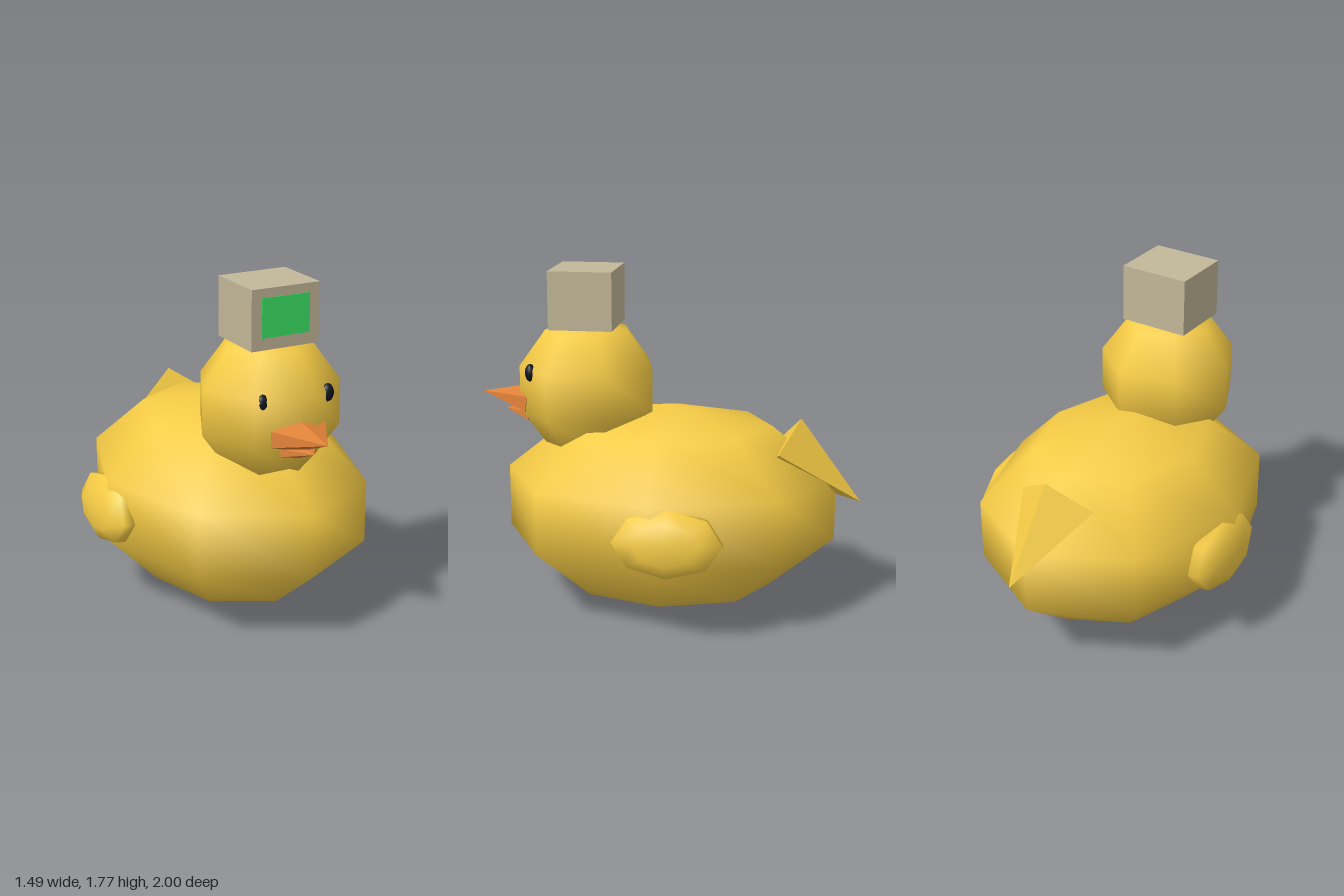
import * as THREE from 'three';

const paint = (color, flatShading = false) => new THREE.MeshStandardMaterial({ color, flatShading });

export function createModel() {
  const duck = new THREE.Group();
  duck.name = 'duck';
  const yellow = paint(0xf5cb45);
  const yellowFlat = paint(0xf5cb45, true);
  const orange = paint(0xdf8138, true);
  const black = paint(0x10161c);

  function add(name, geometry, material, position, scale = [1, 1, 1]) {
    const mesh = new THREE.Mesh(geometry, material);
    mesh.name = name;
    mesh.position.set(...position);
    mesh.scale.set(...scale);
    duck.add(mesh);
    return mesh;
  }

  // Flattened pyramid running from the centre of its base to its tip
  function spike(name, sides, rx, ry, base, tip, material) {
    const geometry = new THREE.ConeGeometry(1, 1, sides).translate(0, 0.5, 0).rotateX(Math.PI / 2);
    const end = new THREE.Vector3(...tip);
    const length = end.distanceTo(new THREE.Vector3(...base));
    add(name, geometry, material, base, [rx, ry, length]).lookAt(end);
  }

  // Body and head: coarse, smoothly shaded spheres
  add('body', new THREE.SphereGeometry(1, 8, 5), yellow, [0, 0.535, 0], [0.715, 0.535, 0.915]);
  add('head', new THREE.SphereGeometry(0.378, 7, 5), yellow, [0, 1.147, 0.43]);

  // Wings and eyes, mirrored
  for (const side of [1, -1]) {
    const label = side > 0 ? 'left' : 'right';
    const wing = new THREE.SphereGeometry(1, 8, 5).rotateZ(-Math.PI / 2);
    add(label + 'Wing', wing, yellow, [side * 0.651, 0.525, -0.08], [0.094, 0.179, 0.289])
      .rotation.z = side * 0.15;
    add(label + 'Eye', new THREE.SphereGeometry(1, 10, 8), black,
      [side * 0.18, 1.25, 0.699], [0.033, 0.046, 0.027]);
  }

  // Beak and tail
  spike('upperBeak', 6, 0.174, 0.08, [0, 1.075, 0.735], [0, 1.105, 1.0], orange);
  spike('lowerBeak', 6, 0.115, 0.042, [0, 1.0, 0.735], [0, 1.02, 0.88], orange);
  spike('tail', 4, 0.215, 0.175, [0, 0.87, -0.585], [0, 0.58, -1.0], yellowFlat);

  // Box on the head with a green screen
  add('headBox', new THREE.BoxGeometry(0.37, 0.3, 0.33), paint(0xc2b798), [0, 1.625, 0.435]);
  add('screen', new THREE.BoxGeometry(0.26, 0.195, 0.006), paint(0x3be363), [0, 1.632, 0.6]);

  return duck;
}
